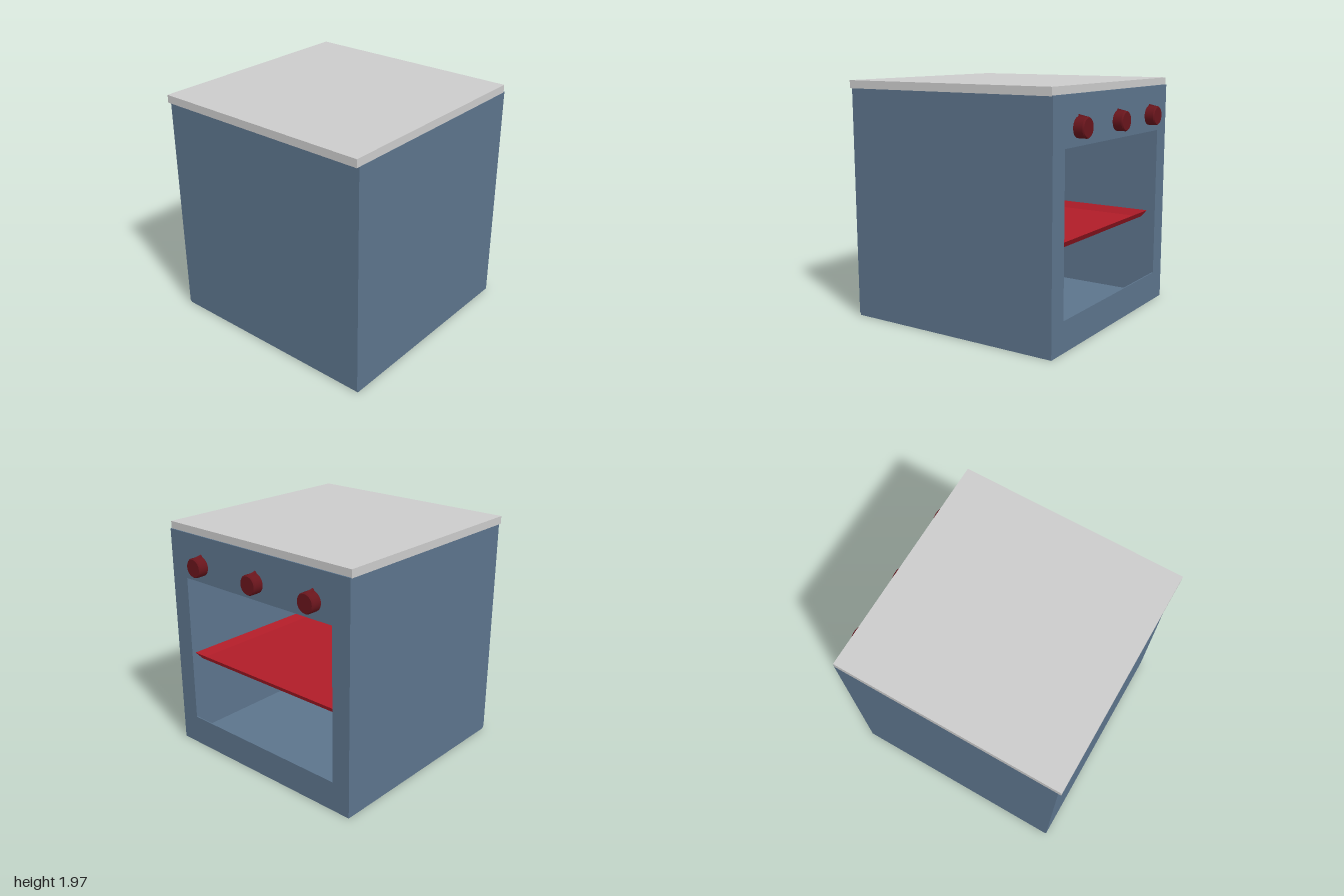
import * as THREE from 'three';

const paint = (color) => new THREE.MeshStandardMaterial({ color, side: THREE.DoubleSide });

export function createModel() {
  const model = new THREE.Group();
  const blue = paint(0x5c748c), grey = paint(0xcccccc), red = paint(0xb01c28), darkRed = paint(0x68151c);

  const add = (name, geometry, material, parent = model) => {
    const mesh = new THREE.Mesh(geometry, material);
    mesh.name = name;
    parent.add(mesh);
    return mesh;
  };
  // Box given by its lower and upper corners
  const slab = (name, [x0, y0, z0], [x1, y1, z1], material) =>
    add(name, new THREE.BoxGeometry(x1 - x0, y1 - y0, z1 - z0), material)
      .position.set((x0 + x1) / 2, (y0 + y1) / 2, (z0 + z1) / 2);

  // Hollow sheet-metal cabinet, open under the worktop
  const t = 0.01, zMin = -0.955, zMax = 0.96;
  slab('floorPanel', [-0.965, 0, zMin], [0.905, t, zMax], blue);
  slab('rearPanel', [-0.975, 0.02, zMin], [-0.965, 1.905, zMax], blue);
  slab('sidePanelLeft', [-0.965, t, zMax - t], [0.905, 1.905, zMax], blue);
  slab('sidePanelRight', [-0.965, t, zMin], [0.905, 1.905, zMin + t], blue);
  slab('worktop', [-1, 1.905, zMin - 0.002], [0.905, 1.97, zMax - 0.002], grey);

  // Oven face with a rectangular opening, drawn in (-z, y) and turned to +x
  const face = new THREE.Shape([[-zMax, 0], [-zMin, 0], [-zMin, 1.91], [-zMax, 1.91]]
    .map(([x, y]) => new THREE.Vector2(x, y)));
  face.holes.push(new THREE.Path([[-0.79, 0.25], [-0.79, 1.525], [0.79, 1.525], [0.79, 0.25]]
    .map(([x, y]) => new THREE.Vector2(x, y))));
  const panel = add('ovenFace', new THREE.ExtrudeGeometry(face, { depth: t, bevelEnabled: false }), blue);
  panel.rotation.y = Math.PI / 2;
  panel.position.x = 0.905;

  // Baking tray: open-topped box whose walls flare outwards
  const trayBox = new THREE.BoxGeometry(1.62, 0.055, 1.84);
  const p = trayBox.attributes.position;
  for (let i = 0; i < p.count; i++) {
    if (p.getY(i) < 0) {
      p.setX(i, p.getX(i) - Math.sign(p.getX(i)) * 0.04);
      p.setZ(i, p.getZ(i) - Math.sign(p.getZ(i)) * 0.04);
    }
  }
  // Drop the top face (third pair of triangles)
  trayBox.setIndex([...trayBox.index.array].filter((_, i) => i < 12 || i >= 18));
  const trayGeometry = trayBox.toNonIndexed();
  trayGeometry.computeVertexNormals();
  add('bakingTray', trayGeometry, red).position.set(-0.03, 0.7525, 0);

  // Control knobs: chamfered disc reaching through the face, with a pointer ridge
  const disc = new THREE.LatheGeometry(
    [[0, -0.08], [0.08, -0.08], [0.08, -0.08], [0.08, 0.075], [0.08, 0.075], [0.072, 0.085], [0.072, 0.085], [0, 0.085]]
      .map(([r, y]) => new THREE.Vector2(r, y)), 32);
  disc.rotateZ(-Math.PI / 2);

  const ridge = new THREE.ExtrudeGeometry(
    new THREE.Shape([[-0.024, 0.068], [0.024, 0.068], [0, 0.102]].map(([x, y]) => new THREE.Vector2(x, y))),
    { depth: 0.155, bevelEnabled: false });
  ridge.rotateY(Math.PI / 2).translate(-0.08, 0, 0);
  // Slope the ridge down towards the outer end
  const r = ridge.attributes.position;
  for (let i = 0; i < r.count; i++) {
    if (r.getX(i) > 0 && r.getY(i) > 0.09) r.setY(i, 0.08);
    else if (r.getY(i) > 0.09) r.setY(i, 0.113);
  }
  ridge.computeVertexNormals();

  for (const z of [0.6, -0.02, -0.605]) {
    const knob = new THREE.Group();
    knob.name = 'controlKnob';
    add('knobDisc', disc, darkRed, knob);
    add('knobPointer', ridge, darkRed, knob);
    knob.position.set(0.915, 1.665, z);
    model.add(knob);
  }
  return model;
}
